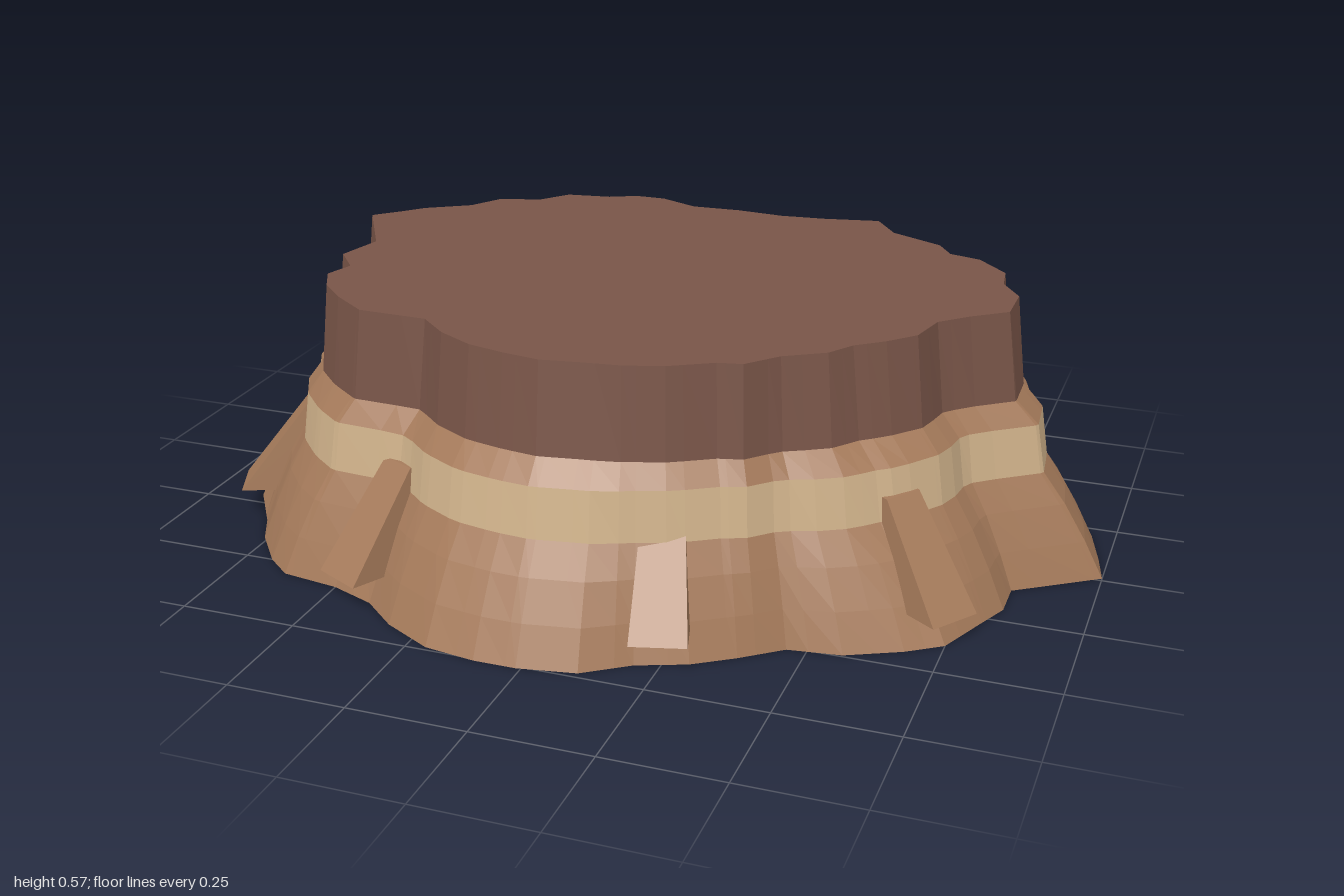
import * as THREE from 'three';

const mat = (name, color) => new THREE.MeshStandardMaterial({ name, color, flatShading: true });

// Plan outlines as x, z pairs
const FOOT = [
  -1, -0.16, -0.9, 0, -0.9, 0.08, -0.88, 0.21, -0.8, 0.33, -0.76, 0.41, -0.69, 0.5, -0.63, 0.55,
  -0.5, 0.57, -0.4, 0.61, -0.32, 0.68, -0.21, 0.74, -0.1, 0.757, -0.01, 0.757, 0.11, 0.735, 0.2, 0.67,
  0.3, 0.63, 0.38, 0.575, 0.46, 0.51, 0.57, 0.495, 0.68, 0.44, 0.75, 0.39, 0.8, 0.27, 0.83, 0.2,
  0.83, 0.11, 1, -0.01, 0.98, -0.1, 0.95, -0.21, 0.9, -0.29, 0.83, -0.355, 0.72, -0.4, 0.59, -0.51,
  0.45, -0.665, 0.3, -0.675, 0.14, -0.66, 0, -0.67, -0.1, -0.69, -0.2, -0.705, -0.29, -0.7, -0.37, -0.65,
  -0.53, -0.63, -0.63, -0.55, -0.69, -0.47, -0.8, -0.39, -0.91, -0.29, -0.99, -0.2,
];
const RIM = [
  -0.665, 0, -0.77, -0.185, -0.72, -0.235, -0.68, -0.28, -0.585, -0.34, -0.54, -0.415, -0.45, -0.44,
  -0.4, -0.505, -0.3, -0.52, -0.24, -0.55, -0.17, -0.55, -0.08, -0.51, 0.03, -0.515, 0.14, -0.505,
  0.24, -0.515, 0.365, -0.54, 0.42, -0.46, 0.54, -0.4, 0.575, -0.345, 0.645, -0.325, 0.715, -0.25,
  0.725, -0.175, 0.77, -0.105, 0.77, 0, 0.7, 0.055, 0.645, 0.11, 0.625, 0.2, 0.575, 0.255, 0.52, 0.3,
  0.485, 0.355, 0.405, 0.405, 0.35, 0.47, 0.3, 0.48, 0.215, 0.53, 0.135, 0.555, 0.055, 0.565,
  -0.025, 0.578, -0.105, 0.565, -0.185, 0.545, -0.265, 0.5, -0.33, 0.44, -0.48, 0.435, -0.56, 0.375,
  -0.62, 0.315, -0.655, 0.245, -0.635, 0.18, -0.69, 0.11, -0.68, 0.065,
];

const TAU = Math.PI * 2;

// Outline corners sorted by angle
function polar(flat) {
  const pts = [];
  for (let i = 0; i < flat.length; i += 2) {
    const x = flat[i], z = flat[i + 1];
    pts.push({ x, z, a: (Math.atan2(z, x) + TAU) % TAU });
  }
  return pts.sort((p, q) => p.a - q.a);
}

// Distance from the centre to an outline along one angle
function reach(pts, a) {
  let k = pts.findIndex((p) => p.a > a);
  if (k < 0) k = 0;
  const p = pts[(k + pts.length - 1) % pts.length], q = pts[k];
  const dx = q.x - p.x, dz = q.z - p.z;
  return (p.x * dz - p.z * dx) / (Math.cos(a) * dz - Math.sin(a) * dx);
}

function makeGeometry(positions) {
  const g = new THREE.BufferGeometry();
  g.setAttribute('position', new THREE.Float32BufferAttribute(positions, 3));
  g.computeVertexNormals();
  return g;
}

// Strip of wall between successive rings
function wall(rings) {
  const out = [];
  for (let r = 0; r + 1 < rings.length; r++) {
    const lo = rings[r], hi = rings[r + 1], n = lo.length;
    for (let i = 0; i < n; i++) {
      const j = (i + 1) % n;
      out.push(...lo[i], ...hi[i], ...hi[j], ...lo[i], ...hi[j], ...lo[j]);
    }
  }
  return makeGeometry(out);
}

// Flat cap closing a ring
function cap(ring, up) {
  const out = [], c = [0, ring[0][1], 0];
  ring.forEach((p, i) => {
    const q = ring[(i + 1) % ring.length];
    out.push(...c, ...(up ? q : p), ...(up ? p : q));
  });
  return makeGeometry(out);
}

// Leaning buttress: wide foot, narrow top set back into the cliff
function buttressGeometry() {
  const g = new THREE.BoxGeometry(1, 1, 1);
  const p = g.attributes.position;
  for (let i = 0; i < p.count; i++) {
    const top = p.getY(i) > 0, front = p.getZ(i) > 0;
    p.setXYZ(i, p.getX(i) * (top ? 0.085 : 0.115), top ? 0.275 : 0.065,
      top ? (front ? -0.165 : -0.24) : (front ? 0 : -0.12));
  }
  g.computeVertexNormals();
  return g;
}

export function createModel() {
  const model = new THREE.Group();
  model.name = 'mesa';
  const sandstone = mat('sandstone', 0xa67b5b);
  const paleStone = mat('paleStone', 0xd2b48c);
  const darkRock = mat('darkRock', 0x795548);

  const foot = polar(FOOT), rim = polar(RIM);
  const angles = [...foot, ...rim].map((p) => p.a).sort((a, b) => a - b)
    .filter((a, i, all) => i === 0 || a - all[i - 1] > 0.004);

  // Ring at height y, blended from foot outline (0) to rim outline (1)
  const ring = (y, t) => angles.map((a) => {
    const r = reach(foot, a) * (1 - t) + reach(rim, a) * t;
    return [Math.cos(a) * r, y, Math.sin(a) * r];
  });
  const add = (name, geometry, material) => {
    const m = new THREE.Mesh(geometry, material);
    m.name = name;
    model.add(m);
    return m;
  };

  const base = ring(0, 0), slopeTop = ring(0.225, 0.6), paleTop = ring(0.33, 0.68);
  const ledgeTop = ring(0.378, 0.89), summit = ring(0.57, 1);

  // Rock layers from the ground up
  add('underside', cap(base, false), sandstone);
  add('lowerSlope', wall([base, ring(0.08, 0.18), ring(0.16, 0.39), slopeTop]), sandstone);
  add('paleBand', wall([slopeTop, paleTop]), paleStone);
  add('upperLedge', wall([paleTop, ledgeTop]), sandstone);
  add('capCliff', wall([ledgeTop, summit]), darkRock);
  add('summit', cap(summit, true), darkRock);

  // Buttresses around the slope, placed by the middle of the outer foot edge
  const wedge = buttressGeometry();
  const spots = [[0.08, -0.757], [-0.45, -0.675], [0.72, -0.49], [-0.88, 0.28],
    [-0.45, 0.65], [0.26, 0.7], [0.77, 0.405]];
  spots.forEach(([x, z], i) => {
    const m = add('buttress' + (i + 1), wedge, sandstone);
    m.position.set(x, 0, z);
    m.rotation.y = Math.atan2(x, z / 0.75);
  });
  return model;
}
